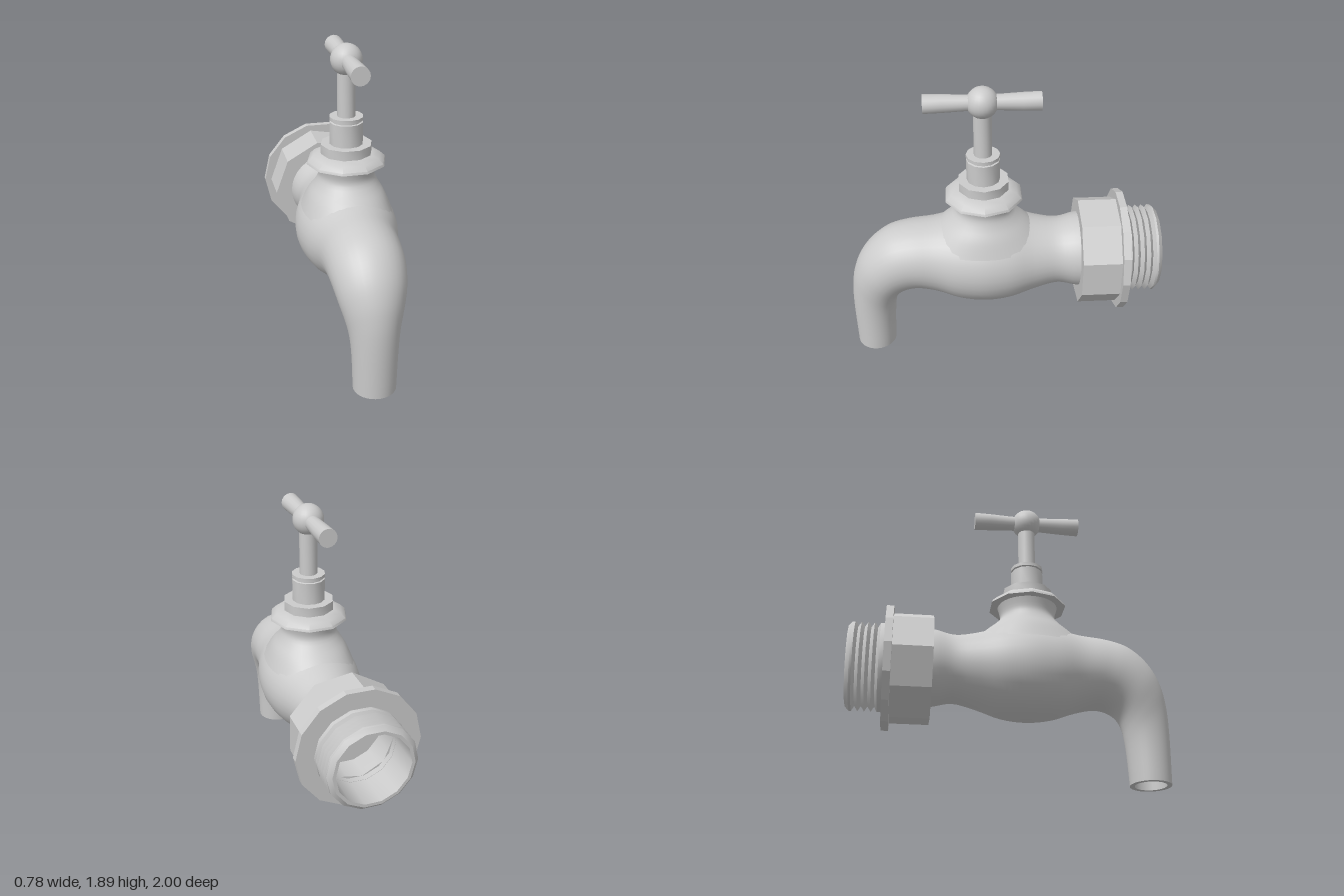
import * as THREE from 'three';
import { toCreasedNormals } from 'three/addons/utils/BufferGeometryUtils.js';

const material = new THREE.MeshStandardMaterial({ color: 0xcccccc });
const AXIS_Y = 0.695; // height of the inlet axis
const STEM_Z = 0.12; // position of the valve stem

function addMesh(parent, name, geometry) {
  const mesh = new THREE.Mesh(geometry, material);
  mesh.name = name;
  parent.add(mesh);
  return mesh;
}

// Turned part: profile of [radius, height], with a corner on the x axis
function turned(profile, sides, crease = 0.7, start = Math.PI / 2) {
  const points = profile.map(([r, y]) => new THREE.Vector2(r, y));
  const geometry = new THREE.LatheGeometry(points, sides, start);
  return toCreasedNormals(geometry, crease);
}

// Swept body: each section is [outer z, outer y, inner z, inner y, half width]
function bodyGeometry() {
  const sections = [
    [-0.55, 0.95, -0.55, 0.455, 0.25],
    [-0.47, 0.945, -0.47, 0.465, 0.242],
    [-0.35, 0.918, -0.35, 0.488, 0.22],
    [-0.2, 0.94, -0.2, 0.455, 0.25],
    [-0.04, 0.985, -0.04, 0.405, 0.3],
    [0.12, 1.0, 0.12, 0.39, 0.318],
    [0.28, 0.985, 0.28, 0.41, 0.298],
    [0.44, 0.955, 0.43, 0.46, 0.253],
    [0.6, 0.937, 0.55, 0.485, 0.238],
    [0.73, 0.902, 0.62, 0.472, 0.23],
    [0.83, 0.835, 0.665, 0.445, 0.218],
    [0.915, 0.735, 0.695, 0.405, 0.2],
    [0.968, 0.615, 0.712, 0.35, 0.175],
    [0.992, 0.49, 0.722, 0.28, 0.153],
    [1.0, 0.34, 0.73, 0.19, 0.14],
    [0.995, 0, 0.74, 0, 0.13],
  ];
  const outer = new THREE.CatmullRomCurve3(sections.map((s) => new THREE.Vector3(s[4], s[1], s[0])));
  const inner = new THREE.CatmullRomCurve3(sections.map((s) => new THREE.Vector3(0, s[3], s[2])));
  const rings = [];
  const steps = 60, sides = 32;
  for (let i = 0; i <= steps; i++) {
    const o = outer.getPoint(i / steps), n = inner.getPoint(i / steps);
    rings.push([o.z, o.y, n.z, n.y, o.x]);
  }
  // Lip and bore of the spout, closed deep inside
  rings.push([0.965, 0, 0.77, 0, 0.1], [0.965, 0.3, 0.77, 0.3, 0.1], [0.868, 0.3, 0.868, 0.3, 0.001]);
  const positions = [], index = [];
  rings.forEach(([oz, oy, iz, iy, w], i) => {
    for (let j = 0; j < sides; j++) {
      const a = (j / sides) * Math.PI * 2, c = Math.cos(a) / 2;
      positions.push(w * Math.sin(a), (oy + iy) / 2 + (oy - iy) * c, (oz + iz) / 2 + (oz - iz) * c);
      if (i === rings.length - 1) continue;
      const k = (j + 1) % sides, p = i * sides, q = p + sides;
      index.push(p + j, q + j, p + k, q + j, q + k, p + k);
    }
  });
  const geometry = new THREE.BufferGeometry();
  geometry.setAttribute('position', new THREE.Float32BufferAttribute(positions, 3));
  geometry.setIndex(index);
  return toCreasedNormals(geometry, 0.8);
}

// Neck that widens lengthwise where it blends into the body
function neckGeometry() {
  const curve = new THREE.SplineCurve([
    [0.28, 0.84], [0.25, 0.92], [0.228, 0.965], [0.2, 1.01], [0.178, 1.06], [0.178, 1.1], [0.195, 1.16],
  ].map(([r, y]) => new THREE.Vector2(r, y)));
  const geometry = new THREE.LatheGeometry(curve.getPoints(16), 32);
  const p = geometry.attributes.position;
  for (let i = 0; i < p.count; i++) {
    p.setZ(i, p.getZ(i) * (1 + Math.max(0, 1.05 - p.getY(i)) * 2.2));
  }
  return toCreasedNormals(geometry, 0.8);
}

export function createModel() {
  const model = new THREE.Group();
  model.name = 'tap';
  addMesh(model, 'bodyAndSpout', bodyGeometry());

  // Valve and handle, stacked on the stem axis
  const valve = new THREE.Group();
  valve.name = 'valve';
  valve.position.z = STEM_Z;
  model.add(valve);
  addMesh(valve, 'neck', neckGeometry());
  addMesh(valve, 'skirt', turned(
    [[0, 1.15], [0.25, 1.15], [0.245, 1.165], [0.215, 1.193], [0.17, 1.21], [0, 1.21]], 10));
  addMesh(valve, 'bonnetBase', turned([[0, 1.2], [0.16, 1.2], [0.16, 1.27], [0, 1.27]], 10));
  addMesh(valve, 'bonnet', turned(
    [[0, 1.27], [0.104, 1.27], [0.104, 1.41], [0.093, 1.413], [0.093, 1.42],
      [0.105, 1.423], [0.105, 1.445], [0, 1.445]], 12));
  addMesh(valve, 'stem', turned([[0.056, 1.44], [0.056, 1.76]], 16));
  addMesh(valve, 'handleBall', new THREE.SphereGeometry(0.097, 24, 16)).position.y = 1.795;
  const bar = addMesh(valve, 'handleBar', turned(
    [[0, -0.35], [0.058, -0.35], [0.055, -0.24], [0.048, -0.1], [0.048, 0.1],
      [0.055, 0.24], [0.058, 0.35], [0, 0.35]], 16));
  bar.rotation.x = Math.PI / 2;
  bar.position.y = 1.795;

  // Inlet: heights run backwards along -z
  const inlet = new THREE.Group();
  inlet.name = 'inlet';
  inlet.position.y = AXIS_Y;
  inlet.rotation.x = -Math.PI / 2;
  model.add(inlet);
  addMesh(inlet, 'nut', turned(
    [[0, 0.485], [0.35, 0.485], [0.35, 0.735], [0.23, 0.735]], 9, 0.3, -Math.PI / 2));
  addMesh(inlet, 'flange', turned(
    [[0.23, 0.73], [0.392, 0.73], [0.392, 0.776], [0.23, 0.776]], 14, 0.3));

  // Threaded pipe with an open bore
  const thread = [[0.28, 0.77], [0.28, 0.805]];
  for (let i = 0; i < 4; i++) {
    const y = 0.822 + i * 0.04;
    thread.push([0.248, y]);
    if (i < 3) thread.push([0.28, y + 0.02]);
  }
  thread.push([0.28, 0.96], [0.28, 0.975], [0.252, 1], [0.232, 1], [0.232, 0.56], [0, 0.56]);
  addMesh(inlet, 'threadedPipe', turned(thread, 14, 0.5));
  return model;
}
